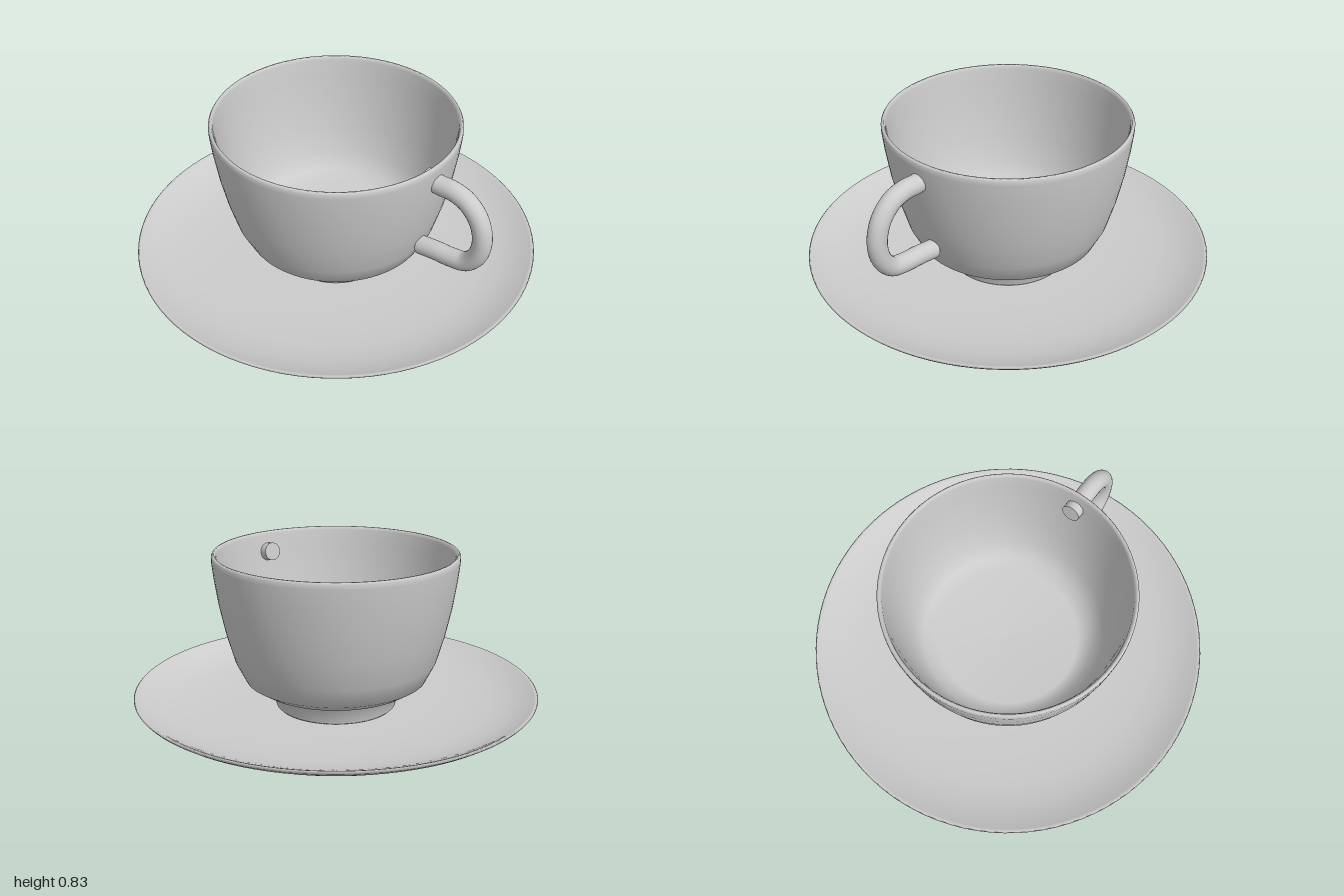
import * as THREE from 'three';

const material = new THREE.MeshStandardMaterial({ color: 0xcccccc, side: THREE.DoubleSide });

// Revolved part; the profile runs up the outside, over the rim and down the inside
function turned(name, profile) {
  const points = profile.map(([r, y]) => new THREE.Vector2(r, y));
  const mesh = new THREE.Mesh(new THREE.LatheGeometry(points, 96), material);
  mesh.name = name;
  return mesh;
}

export function createModel() {
  const model = new THREE.Group();
  model.name = 'cupAndSaucer';

  // Shallow dish with an upturned edge
  model.add(turned('saucer', [
    [0, 0], [0.3, 0.003], [0.5, 0.01], [0.68, 0.023], [0.8, 0.044], [0.9, 0.075],
    [0.96, 0.105], [0.99, 0.125], [1, 0.137], [0.994, 0.143], [0.98, 0.138],
    [0.93, 0.11], [0.85, 0.083], [0.75, 0.064], [0.6, 0.052], [0.4, 0.045], [0, 0.045],
  ]));

  // Foot, rounded base, flaring wall, thin rim and hollow inside
  model.add(turned('cup', [
    [0, 0.05], [0.29, 0.05], [0.3, 0.06], [0.31, 0.14], [0.35, 0.148], [0.39, 0.162],
    [0.45, 0.2], [0.5, 0.3], [0.54, 0.44], [0.57, 0.58], [0.59, 0.71], [0.6, 0.8],
    [0.6, 0.822], [0.594, 0.832], [0.585, 0.832], [0.578, 0.815], [0.57, 0.74],
    [0.55, 0.6], [0.52, 0.45], [0.48, 0.31], [0.43, 0.225], [0.36, 0.19], [0, 0.18],
  ]));

  // Round-section loop on the cup's left side, its upper end poking through the wall
  const path = new THREE.CatmullRomCurve3([
    [0.525, 0.735], [0.6, 0.723], [0.68, 0.723], [0.755, 0.698], [0.82, 0.63], [0.848, 0.53],
    [0.83, 0.435], [0.775, 0.37], [0.7, 0.352], [0.61, 0.346], [0.52, 0.335],
  ].map(([x, y]) => new THREE.Vector3(x, y, 0)));
  const handle = new THREE.Group();
  handle.name = 'handle';
  const radius = 0.046;
  const loop = new THREE.Mesh(new THREE.TubeGeometry(path, 72, radius, 24), material);
  loop.name = 'handleLoop';
  handle.add(loop);

  // Flat discs closing both ends of the loop
  for (const t of [0, 1]) {
    const cap = new THREE.Mesh(new THREE.CircleGeometry(radius, 24), material);
    cap.name = t ? 'lowerHandleEnd' : 'upperHandleEnd';
    const outward = path.getTangentAt(t).multiplyScalar(t ? 1 : -1);
    cap.position.copy(path.getPointAt(t));
    cap.quaternion.setFromUnitVectors(new THREE.Vector3(0, 0, 1), outward);
    handle.add(cap);
  }
  model.add(handle);

  return model;
}
